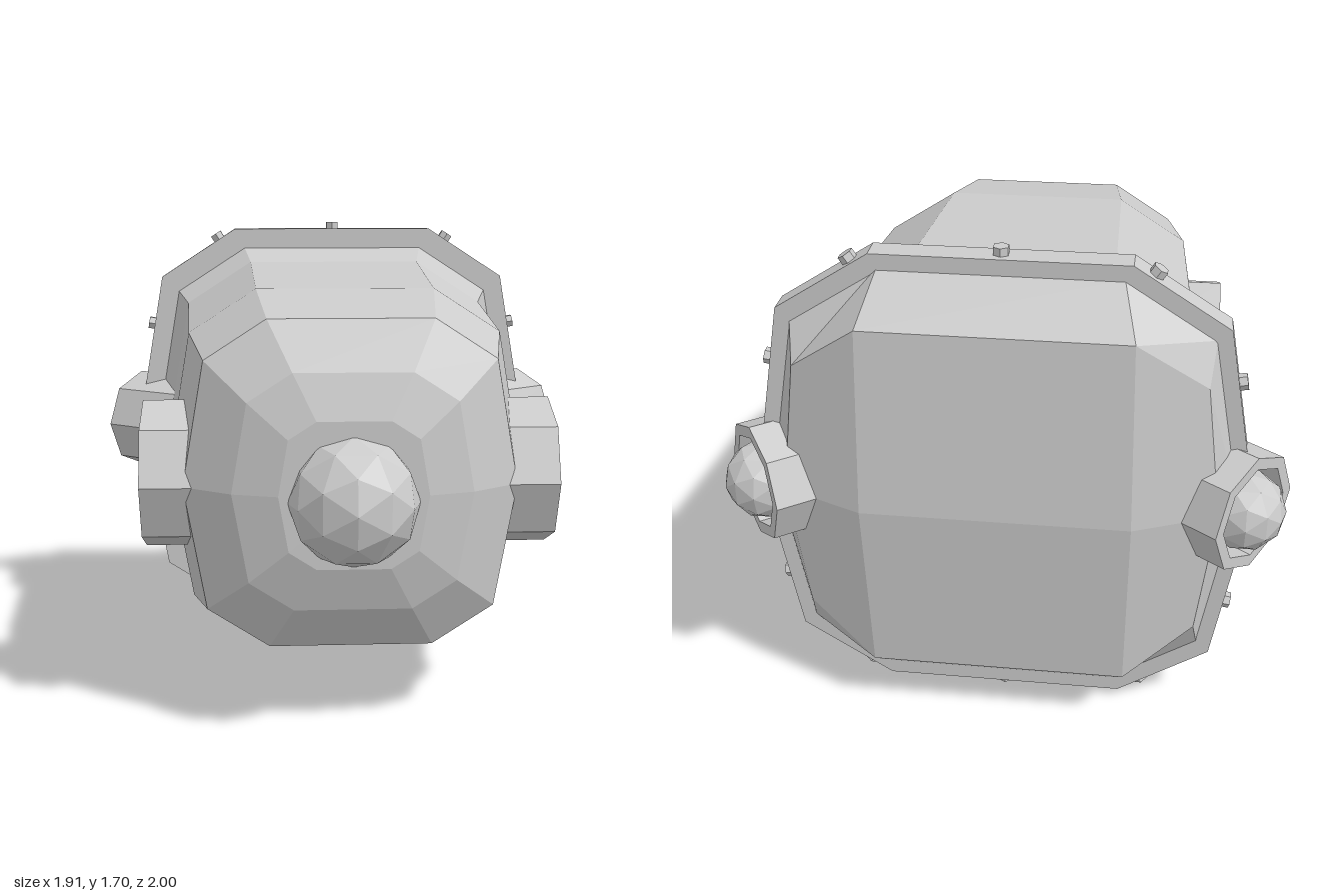
import * as THREE from 'three';

const CY = 0.865; // height of the long axis
const mat = new THREE.MeshStandardMaterial({ color: 0xcccccc, flatShading: true });

// Ten-sided hull section, counter-clockwise seen from the front
const quarter = [[0.83, 0], [0.72, 0.625], [0.41, 0.825]];
const section = [
  ...quarter,
  ...quarter.slice().reverse().map(([x, y]) => [-x, y]),
  ...quarter.slice(1).map(([x, y]) => [-x, -y]),
  ...quarter.slice(1).reverse().map(([x, y]) => [x, -y]),
];
const ring = (s, z) => section.map(([x, y]) => [x * s, y * s, z]);

// Skin a list of rings running from front to back
function loft(rings) {
  const pos = [];
  for (let r = 0; r < rings.length - 1; r++) {
    const a = rings[r], b = rings[r + 1], n = a.length;
    for (let i = 0; i < n; i++) {
      const j = (i + 1) % n;
      for (const tri of [[a[i], b[i], a[j]], [a[j], b[i], b[j]]]) {
        const [p, q, t] = tri.map((v) => new THREE.Vector3(...v));
        if (q.clone().sub(p).cross(t.clone().sub(p)).length() > 1e-8) pos.push(...tri.flat());
      }
    }
  }
  const geo = new THREE.BufferGeometry();
  geo.setAttribute('position', new THREE.Float32BufferAttribute(pos, 3));
  geo.computeVertexNormals();
  return geo;
}

function add(parent, name, geo, x = 0, y = 0, z = 0) {
  const mesh = new THREE.Mesh(geo, mat);
  mesh.name = name;
  mesh.position.set(x, y, z);
  parent.add(mesh);
  return mesh;
}

// Eight-sided cup along +y: open mouth at y = 0, floor sunk by depth
function cup(outer, inner, length, depth) {
  const profile = [[0, -length], [outer, -length], [outer, 0], [inner, 0], [inner, -depth], [0, -depth]];
  return new THREE.LatheGeometry(profile.map(([x, y]) => new THREE.Vector2(x, y)), 8);
}

export function createModel() {
  const model = new THREE.Group();
  model.name = 'pod';

  // Hull with stepped nose
  add(model, 'hull', loft([
    ring(0, 0.79), ring(0.3, 0.79), ring(0.485, 0.74), ring(0.685, 0.62),
    ring(0.775, 0.26), ring(0.84, -0.56), ring(0.905, -0.7),
  ]), 0, CY);

  // Flange around the rear opening
  add(model, 'flange', loft([
    ring(0.88, -0.695), ring(1, -0.695), ring(1, -0.785), ring(0.88, -0.785),
  ]), 0, CY);

  // Rear cover: corners sit further forward, with a faint horizontal ridge
  const depths = [-0.87, -0.86, -0.94];
  const rimXY = [[0.715, 0], [0.66, 0.46], [0.43, 0.635]];
  const rim = section.map(([x, y]) => {
    const k = quarter.findIndex((q) => q[0] === Math.abs(x));
    return [Math.sign(x) * rimXY[k][0], Math.sign(y) * rimXY[k][1], depths[k]];
  });
  const ridge = section.map(([x]) => [Math.sign(x) * 0.44, 0, -0.985]);
  add(model, 'rearCover', loft([ring(0.94, -0.78), rim, ridge]), 0, CY);

  // Nose ball
  add(model, 'noseBall', new THREE.IcosahedronGeometry(0.22, 1), 0, 0.843, 0.78);

  for (const side of [1, -1]) {
    const label = side > 0 ? 'left' : 'right';

    // Side porthole
    const port = add(model, label + 'Porthole', cup(0.262, 0.217, 0.22, 0.07), side * 0.715, CY, 0.38);
    port.rotation.z = -side * Math.PI / 2;

    // Angled rear thruster with a ball in its mouth
    const thruster = add(model, label + 'Thruster', cup(0.207, 0.165, 0.34, 0.1), side * 0.83, CY, -0.835);
    const yaw = Math.atan2(0.6, 0.8);
    thruster.rotation.set(0, side > 0 ? yaw : Math.PI - yaw, -Math.PI / 2, 'YXZ');
    add(model, label + 'ThrusterBall', new THREE.IcosahedronGeometry(0.135, 1), side * 0.8, CY, -0.815);
  }

  // Hexagonal bolts around the flange edge: position and outward direction
  const bolts = [];
  for (const v of [1, -1]) {
    bolts.push([0, v * 0.825, 0, v]);
    for (const h of [1, -1]) {
      bolts.push([h * 0.478, v * 0.781, h * 0.54, v * 0.84]);
      bolts.push([h * 0.755, v * 0.425, h * 0.985, v * 0.173]);
    }
  }
  const boltGeo = new THREE.CylinderGeometry(0.027, 0.027, 0.05, 6);
  for (const [x, y, nx, ny] of bolts) {
    const bolt = add(model, 'bolt', boltGeo, x + nx * 0.002, CY + y + ny * 0.002, -0.738);
    bolt.rotation.z = Math.atan2(-nx, ny);
  }
  return model;
}
